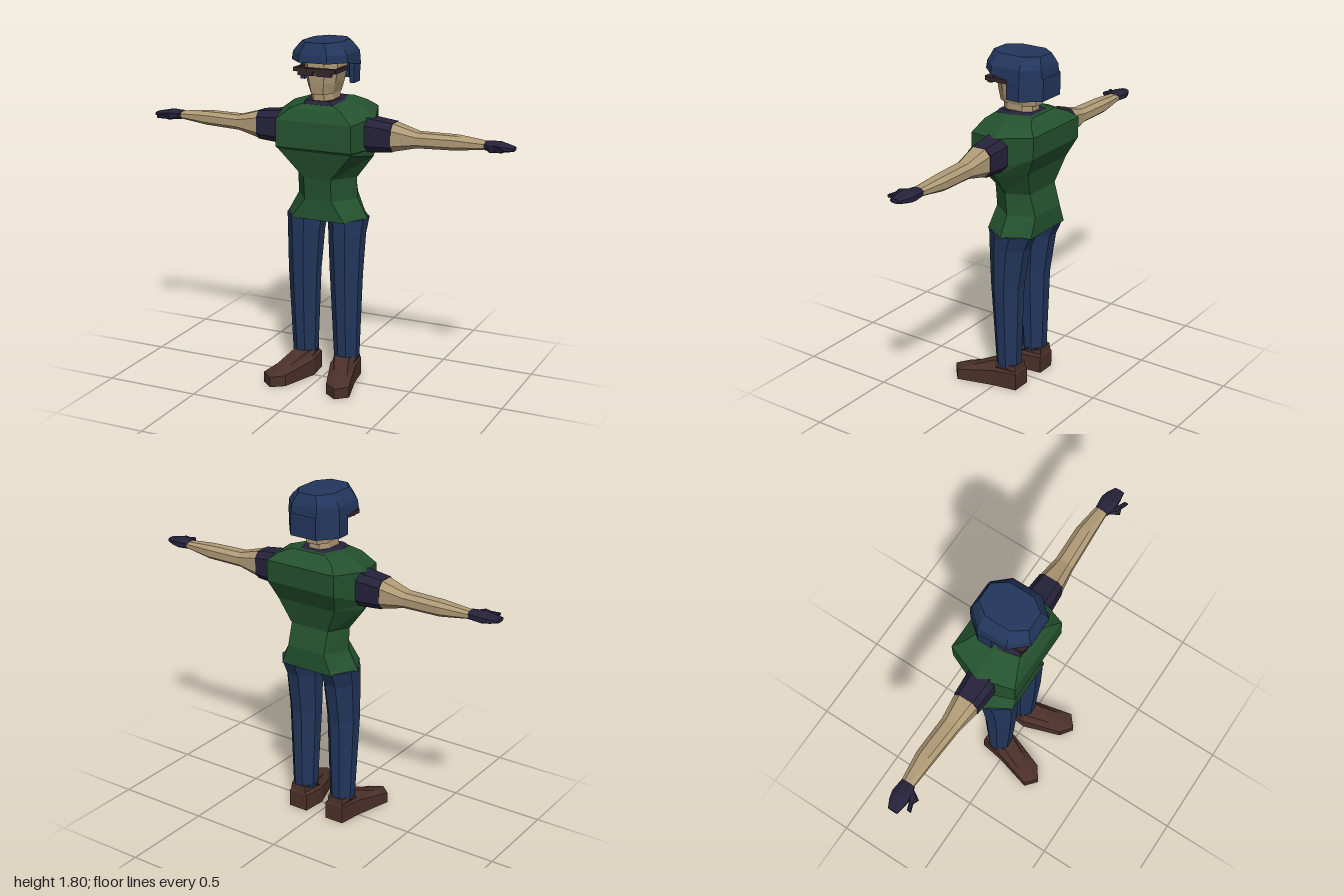
import * as THREE from 'three';

const mat = (name, color) => Object.assign(new THREE.MeshStandardMaterial({ color, flatShading: true, side: THREE.DoubleSide }), { name });

// Skins a list of equal-length rings of [x, y, z] points, facing outwards.
function loft(name, material, rings, capped = true) {
  const n = rings[0].length, tris = [];
  const at = (r, i) => rings[r][i % n];
  for (let r = 0; r < rings.length - 1; r++)
    for (let i = 0; i < n; i++) {
      tris.push([at(r, i), at(r, i + 1), at(r + 1, i + 1)], [at(r, i), at(r + 1, i + 1), at(r + 1, i)]);
    }
  if (capped) {
    const mid = ring => [0, 1, 2].map(k => ring.reduce((s, p) => s + p[k], 0) / n);
    const last = rings.length - 1, a = mid(rings[0]), b = mid(rings[last]);
    for (let i = 0; i < n; i++) tris.push([a, at(0, i + 1), at(0, i)], [b, at(last, i), at(last, i + 1)]);
  }
  // Flip the winding when the enclosed volume is negative
  const c = new THREE.Vector3();
  rings.flat().forEach(p => c.add(new THREE.Vector3(...p)));
  c.divideScalar(rings.flat().length);
  let volume = 0;
  for (const t of tris) {
    const [p, q, s] = t.map(v => new THREE.Vector3(...v).sub(c));
    volume += p.dot(q.cross(s));
  }
  if (volume < 0) tris.forEach(t => t.reverse());
  const geometry = new THREE.BufferGeometry();
  geometry.setAttribute('position', new THREE.Float32BufferAttribute(tris.flat(2), 3));
  geometry.computeVertexNormals();
  const mesh = new THREE.Mesh(geometry, material);
  mesh.name = name;
  return mesh;
}

// Chamfered rectangle between two limits on each axis; k is the share kept straight.
function octagon(a0, a1, b0, b1, k = 0.5) {
  const ca = (a0 + a1) / 2, cb = (b0 + b1) / 2, ha = (a1 - a0) / 2, hb = (b1 - b0) / 2;
  return [[1, k], [k, 1], [-k, 1], [-1, k], [-1, -k], [-k, -1], [k, -1], [1, -k]]
    .map(([u, v]) => [ca + u * ha, cb + v * hb]);
}
const level = (y, x0, x1, z0, z1, k) => octagon(x0, x1, z0, z1, k).map(([x, z]) => [x, y, z]);
const slice = (x, y0, y1, z0, z1, k) => octagon(y0, y1, z0, z1, k).map(([y, z]) => [x, y, z]);
const mirror = (rings, s) => rings.map(r => r.map(([x, y, z]) => [x * s, y, z]));

export function createModel() {
  const model = new THREE.Group();
  model.name = 'figure';
  const green = mat('vest green', 0x24522e);
  const navy = mat('navy blue', 0x22365c);
  const skin = mat('skin', 0xb09a76);
  const brown = mat('boot brown', 0x4b3029);
  const dark = mat('dark cloth', 0x25223a);
  const frame = mat('glasses brown', 0x35262c);

  // Vest: six-sided rings, [front half width, front z, side half width, side z, back half width, back z]
  const hex = (yf, ys, yb, a, zf, w, zs, b, zb) =>
    [[a, yf, zf], [w, ys, zs], [b, yb, zb], [-b, yb, zb], [-w, ys, zs], [-a, yf, zf]];
  model.add(loft('vest', green, [
    hex(0.88, 0.88, 0.88, 0.15, 0.06, 0.227, -0.07, 0.15, -0.205),
    hex(0.985, 0.985, 0.985, 0.075, 0.055, 0.167, -0.07, 0.11, -0.205),
    hex(1.1, 1.1, 1.1, 0.075, 0.065, 0.167, -0.06, 0.11, -0.172),
    hex(1.245, 1.22, 1.23, 0.2, 0.1, 0.258, -0.06, 0.17, -0.2),
    hex(1.26, 1.26, 1.33, 0.208, 0.115, 0.265, -0.07, 0.2, -0.25),
    hex(1.4, 1.42, 1.44, 0.208, 0.115, 0.265, -0.07, 0.2, -0.253),
    hex(1.46, 1.475, 1.475, 0.14, 0.085, 0.19, -0.07, 0.16, -0.21),
    hex(1.482, 1.497, 1.5, 0.085, 0.062, 0.12, -0.06, 0.1, -0.175),
  ]));
  model.add(loft('collar', dark, [
    hex(1.475, 1.49, 1.495, 0.085, 0.066, 0.115, -0.05, 0.075, -0.155),
    hex(1.5, 1.505, 1.505, 0.06, 0.045, 0.085, -0.045, 0.06, -0.135),
  ]));

  // Neck and head
  model.add(loft('neck', skin, [
    level(1.48, -0.06, 0.06, -0.13, 0.04), level(1.55, -0.06, 0.06, -0.13, 0.045),
  ]));
  model.add(loft('head', skin, [
    level(1.535, -0.062, 0.062, -0.15, 0.062), level(1.59, -0.078, 0.078, -0.155, 0.07),
    level(1.65, -0.09, 0.09, -0.16, 0.075), level(1.72, -0.09, 0.09, -0.16, 0.075),
  ]));

  // Helmet: dome, then a skirt round the ears and nape
  model.add(loft('helmetDome', navy, [
    level(1.67, -0.153, 0.153, -0.216, 0.118).map(([x, y, z]) => [x, z > 0 ? 1.7 : y, z]),
    level(1.74, -0.148, 0.148, -0.21, 0.112), level(1.765, -0.13, 0.13, -0.2, 0.1),
    level(1.797, -0.1, 0.1, -0.185, 0.088),
  ]));
  const skirt = [[0.15, -0.055], [0.15, -0.13], [0.075, -0.222], [-0.075, -0.222], [-0.15, -0.13], [-0.15, -0.055],
    [-0.125, -0.055], [-0.125, -0.12], [-0.06, -0.19], [0.06, -0.19], [0.125, -0.12], [0.125, -0.055]];
  model.add(loft('helmetSkirt', navy, [1.585, 1.7].map(y => skirt.map(([x, z]) => [x, y, z])), false));

  // Glasses
  const glasses = new THREE.Group();
  glasses.name = 'glasses';
  const bar = (name, w, h, d, x, y, z) => {
    const mesh = new THREE.Mesh(new THREE.BoxGeometry(w, h, d), frame);
    mesh.name = name;
    mesh.position.set(x, y, z);
    glasses.add(mesh);
  };
  bar('browBar', 0.22, 0.018, 0.03, 0, 1.662, 0.085);
  for (const s of [-1, 1]) {
    bar('lens', 0.082, 0.035, 0.025, s * 0.05, 1.65, 0.087);
    bar('temple', 0.018, 0.02, 0.15, s * 0.108, 1.66, 0.02);
  }
  model.add(glasses);

  // Limbs, mirrored
  for (const s of [1, -1]) {
    const side = s > 0 ? 'left' : 'right';
    const add = (name, material, rings) => model.add(loft(side + name, material, mirror(rings, s)));

    add('Sleeve', dark, [
      slice(0.2, 1.25, 1.43, -0.13, 0.02, 0.6), slice(0.265, 1.25, 1.418, -0.128, 0.018, 0.6),
      slice(0.375, 1.258, 1.405, -0.122, 0.01, 0.6),
    ]);
    add('Arm', skin, [
      slice(0.374, 1.261, 1.403, -0.12, 0.008, 0.55), slice(0.5, 1.289, 1.367, -0.108, -0.01),
      slice(0.7, 1.295, 1.367, -0.114, -0.022), slice(0.86, 1.316, 1.352, -0.095, -0.03),
    ]);
    add('Hand', dark, [
      slice(0.85, 1.313, 1.355, -0.095, -0.025), slice(0.92, 1.308, 1.358, -0.102, -0.01),
      slice(0.96, 1.314, 1.35, -0.092, -0.014), slice(1.0, 1.322, 1.343, -0.072, -0.02),
    ]);
    add('Thumb', dark, [
      slice(0.865, 1.318, 1.346, -0.045, -0.015), slice(0.89, 1.316, 1.346, -0.03, 0.026),
      slice(0.92, 1.318, 1.342, -0.008, 0.015), slice(0.96, 1.322, 1.338, 0.008, 0.03),
    ]);

    add('Leg', navy, [
      level(0.885, 0.018, 0.215, -0.198, 0.052, 0.35), level(0.8, 0.026, 0.207, -0.16, 0.052, 0.35),
      level(0.58, 0.038, 0.2, -0.126, 0.045, 0.35), level(0.12, 0.056, 0.183, -0.112, 0.015, 0.35),
    ]);

    // Boot: sole outline turned slightly outwards, rising to the ankle
    const sole = [[0.062, -0.125], [0.17, -0.125], [0.19, 0], [0.245, 0.2], [0.185, 0.252], [0.118, 0.205], [0.048, 0]];
    const heights = [0.092, 0.092, 0.088, 0.058, 0.055, 0.058, 0.088];
    const top = [[0.075, -0.12], [0.165, -0.12], [0.178, 0], [0.2, 0.13], [0.165, 0.15], [0.125, 0.13], [0.06, 0]];
    const ankle = [[0.075, -0.116], [0.163, -0.116], [0.186, -0.05], [0.16, 0.014], [0.12, 0.02], [0.078, 0.014], [0.052, -0.05]];
    add('Boot', brown, [
      sole.map(([x, z]) => [x, 0, z]),
      sole.map(([x, z], i) => [x, heights[i], z]),
      top.map(([x, z]) => [x, z > 0 ? 0.088 : 0.102, z]),
      ankle.map(([x, z]) => [x, 0.135, z]),
    ]);
  }
  return model;
}
